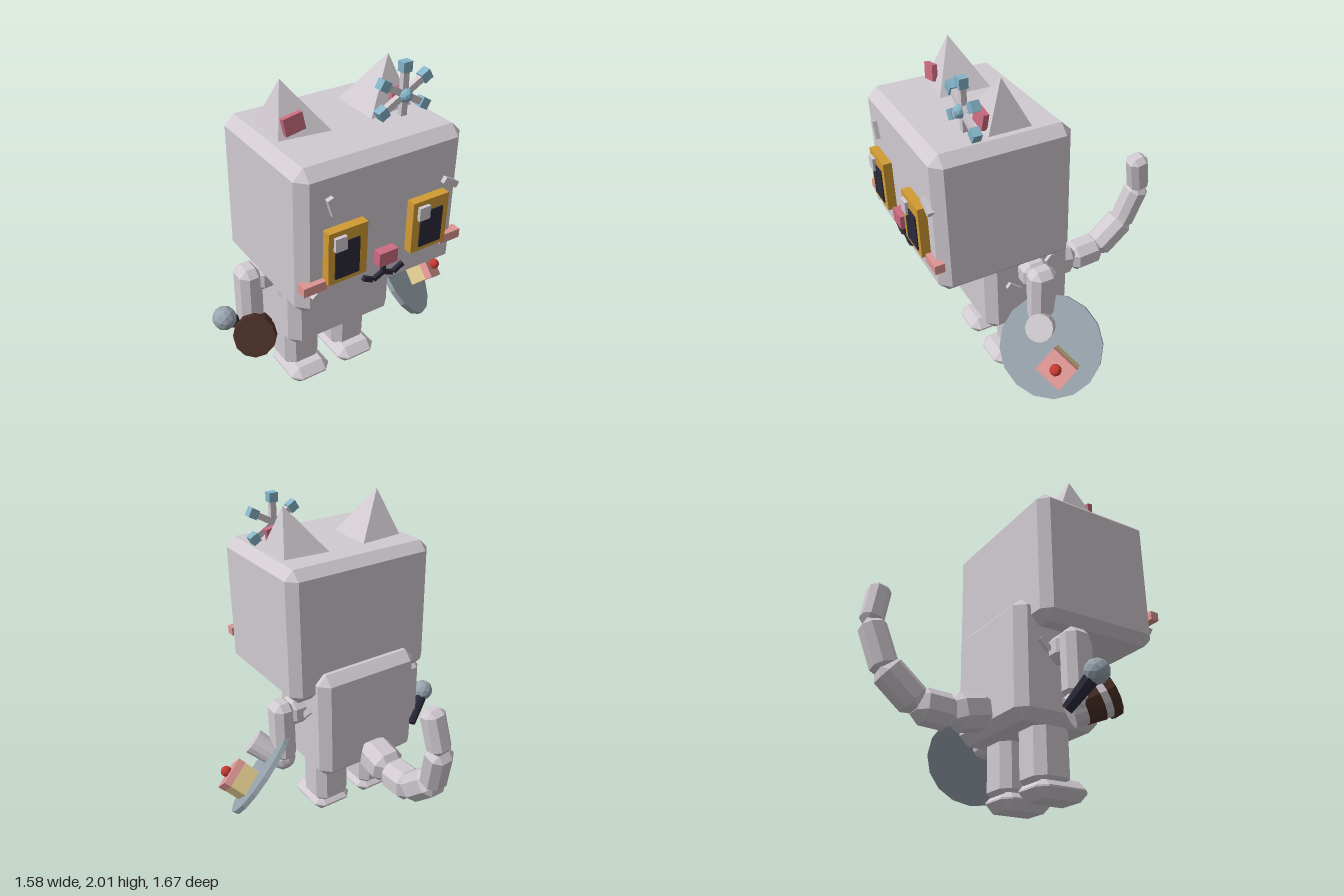
import * as THREE from 'three';
import { ConvexGeometry } from 'three/addons/geometries/ConvexGeometry.js';

const V = (x, y, z) => new THREE.Vector3(x, y, z);
const UP = V(0, 1, 0);
const MID = -0.087; // the body's plane of symmetry

export function createModel() {
  const root = new THREE.Group();
  root.name = 'robotCat';

  const mat = (name, color) => {
    const m = new THREE.MeshStandardMaterial({ color });
    m.name = name;
    return m;
  };
  const fur = mat('paleGrey', 0xd0cad0);
  const gold = mat('gold', 0xd29b34);
  const navy = mat('navy', 0x2b2a3a);
  const rose = mat('rose', 0xcc6c80);
  const pink = mat('softPink', 0xde9694);
  const blue = mat('iceBlue', 0x84b4c8);
  const steel = mat('steel', 0x98a4ae);
  const brown = mat('brown', 0x4a2e26);
  const tan = mat('sponge', 0xdcc88c);
  const red = mat('cherryRed', 0xc43a30);

  // Facet a geometry so every face is flat
  const facet = (g) => {
    const f = g.index ? g.toNonIndexed() : g;
    f.computeVertexNormals();
    return f;
  };
  const add = (name, geo, material, pos = [0, 0, 0], rot = [0, 0, 0], parent = root) => {
    const m = new THREE.Mesh(facet(geo), material);
    m.name = name;
    m.position.set(...pos);
    m.rotation.set(...rot);
    parent.add(m);
    return m;
  };
  const box = (w, h, d) => new THREE.BoxGeometry(w, h, d);
  const ball = (r) => new THREE.IcosahedronGeometry(r, 1);
  // Box with all edges cut at 45 degrees
  const chamferBox = (w, h, d, c) => {
    const pts = [];
    for (const x of [-1, 1]) for (const y of [-1, 1]) for (const z of [-1, 1]) {
      const [a, b, e] = [w / 2, h / 2, d / 2];
      pts.push(V(x * a, y * (b - c), z * (e - c)), V(x * (a - c), y * b, z * (e - c)), V(x * (a - c), y * (b - c), z * e));
    }
    return new ConvexGeometry(pts);
  };
  // Turn a mesh or group so its y axis follows a direction
  const aim = (o, dir) => o.quaternion.setFromUnitVectors(UP, dir.clone().normalize());

  // Head and body
  add('head', chamferBox(0.97, 0.815, 0.78, 0.055), fur, [MID, 1.313, 0.37]);
  add('body', chamferBox(0.69, 0.7, 0.54, 0.057), fur, [MID, 0.727, 0.17]);

  for (const s of [-1, 1]) {
    const side = s > 0 ? 'left' : 'right';
    const X = (d) => MID + s * d;

    // Legs and feet
    add(side + 'Leg', chamferBox(0.235, 0.4, 0.23, 0.05), fur, [X(0.167), 0.26, 0.165]);
    add(side + 'Foot', chamferBox(0.26, 0.11, 0.33, 0.05), fur, [X(0.167), 0.055, 0.215]);

    // Arms
    add(side + 'Shoulder', chamferBox(0.15, 0.16, 0.16, 0.04), fur, [X(0.375), 0.78, 0.17]);
    add(side + 'Arm', chamferBox(0.135, 0.4, 0.16, 0.04), fur, [X(0.472), 0.665, 0.17]);
    add(side + 'Hand', ball(0.08), fur, [X(0.472), 0.46, 0.18]);

    // Tufts on the flanks
    add(side + 'FrontTuft', box(0.03, 0.095, 0.035), fur, [X(0.352), 0.69, 0.285], [0.86, 0, 0]);
    add(side + 'BackTuft', box(0.03, 0.085, 0.035), fur, [X(0.352), 0.8, 0.06], [-0.75, 0, 0]);

    // Ears lean outward
    const ear = new ConvexGeometry([
      V(X(0.398), 1.71, 0.18), V(X(0.398), 1.71, 0.43),
      V(X(0.11), 1.71, 0.155), V(X(0.11), 1.71, 0.467), V(X(0.318), 1.978, 0.312)]);
    add(side + 'Ear', ear, fur);
    add(side + 'InnerEar', box(0.11, 0.09, 0.03), rose, [X(0.313), 1.793, 0.425], [-0.1, 0, -s * 0.17]);

    // Eyes and cheeks
    add(side + 'Eye', box(0.222, 0.295, 0.06), gold, [X(0.248), 1.252, 0.78]);
    add(side + 'Pupil', box(0.14, 0.205, 0.02), navy, [X(0.253), 1.233, 0.806]);
    add(side + 'EyeGlint', box(0.066, 0.075, 0.03), fur, [X(0.248) - 0.05, 1.335, 0.814]);
    add(side + 'Cheek', box(0.13, 0.052, 0.055), pink, [X(0.417), 1.097, 0.763]);

    // Mouth curl
    add(side + 'MouthInner', box(0.065, 0.024, 0.03), navy, [X(0.03), 1.01, 0.765], [0, 0, -s * 0.45]);
    add(side + 'MouthOuter', box(0.065, 0.026, 0.03), navy, [X(0.095), 1.014, 0.765], [0, 0, s * 0.5]);
  }
  add('nose', box(0.112, 0.08, 0.06), rose, [MID, 1.132, 0.78]);
  add('mouthStem', box(0.022, 0.08, 0.03), navy, [MID, 1.055, 0.765]);

  // Tufts on the face: x, y, turn
  for (const [x, y, a] of [[-0.405, 1.52, 0.3], [0.306, 1.43, 1.03], [-0.47, 1.055, -0.9]])
    add('faceTuft', box(0.035, 0.1, 0.04), fur, [x, y, 0.765], [0, 0, a]);

  // Snowflake clip
  const flake = new THREE.Group();
  flake.name = 'snowflakeClip';
  flake.position.set(0.192, 1.832, 0.5);
  root.add(flake);
  for (let i = 0; i < 6; i++) {
    const spoke = new THREE.Group();
    spoke.name = 'snowflakeSpoke';
    spoke.rotation.z = i * Math.PI / 3;
    flake.add(spoke);
    add('spokeBar', box(0.036, 0.13, 0.03), fur, [0, 0.07, 0], [0, 0, 0], spoke);
    add('spokeTip', box(0.054, 0.054, 0.048), blue, [0, 0.147, 0], [0, 0, 0], spoke);
  }
  add('snowflakeCentre', ball(0.036), blue, [0, 0, 0.018], [0, 0, 0], flake);

  // Tail: start, end, thickness of each segment
  const tail = [
    [V(MID, 0.5, -0.08), V(MID, 0.45, -0.32), 0.205],
    [V(MID, 0.445, -0.29), V(-0.084, 0.46, -0.53), 0.185],
    [V(-0.085, 0.45, -0.5), V(-0.07, 0.645, -0.715), 0.17],
    [V(-0.075, 0.6, -0.69), V(-0.03, 0.9, -0.78), 0.145],
    [V(-0.03, 0.875, -0.78), V(0.0, 1.135, -0.725), 0.125]];
  for (const [a, b, w] of tail) {
    const seg = add('tailSegment', chamferBox(w, a.distanceTo(b), w, w * 0.27), fur);
    seg.position.copy(a).lerp(b, 0.5);
    aim(seg, b.clone().sub(a));
  }

  // Tray with a cup and a slice of cake, tilted forward and outward
  const n = V(0.6, 0.57, 0.55).normalize();
  const e = V(0.79, -0.45, -0.39).projectOnPlane(n).normalize();
  const tray = new THREE.Group();
  tray.name = 'tray';
  tray.position.set(0.533, 0.41, 0.19);
  tray.quaternion.setFromRotationMatrix(new THREE.Matrix4().makeBasis(e, n, e.clone().cross(n)));
  root.add(tray);
  const flat = [0, 0, 0];
  add('trayPlate', new THREE.CylinderGeometry(0.3, 0.3, 0.03, 16), steel, [0, 0, 0], flat, tray);
  add('trayCup', new THREE.CylinderGeometry(0.08, 0.072, 0.14, 14), fur, [-0.11, 0.075, -0.06], flat, tray);
  add('cakeSponge', box(0.17, 0.11, 0.15), tan, [0.11, 0.065, 0.04], flat, tray);
  add('cakeIcing', box(0.175, 0.045, 0.155), pink, [0.11, 0.138, 0.04], flat, tray);
  add('cherry', ball(0.034), red, [0.11, 0.178, 0.04], flat, tray);

  // Takeaway cup in the right hand; local y = 0 is the lid
  const cup = new THREE.Group();
  cup.name = 'takeawayCup';
  cup.position.set(-0.62, 0.51, 0.34);
  aim(cup, V(-0.48, 0.42, 0.78));
  root.add(cup);
  const ring = (name, rt, rb, top, h, m) =>
    add(name, new THREE.CylinderGeometry(rt, rb, h, 12), m, [0, top - h / 2, 0], flat, cup);
  ring('cupLid', 0.118, 0.124, 0.01, 0.05, brown);
  ring('cupRim', 0.112, 0.108, -0.04, 0.04, fur);
  ring('cupSleeve', 0.112, 0.1, -0.08, 0.09, brown);
  ring('cupBase', 0.095, 0.085, -0.17, 0.07, fur);

  // Microphone in the right hand
  const mic = new THREE.Group();
  mic.name = 'microphone';
  mic.position.set(-0.72, 0.57, 0.175);
  aim(mic, V(-0.14, 0.15, 0.07));
  root.add(mic);
  add('microphoneHead', ball(0.07), steel, [0, 0, 0], flat, mic);
  add('microphoneHandle', new THREE.CylinderGeometry(0.045, 0.032, 0.21, 8), navy, [0, -0.14, 0], flat, mic);

  return root;
}
